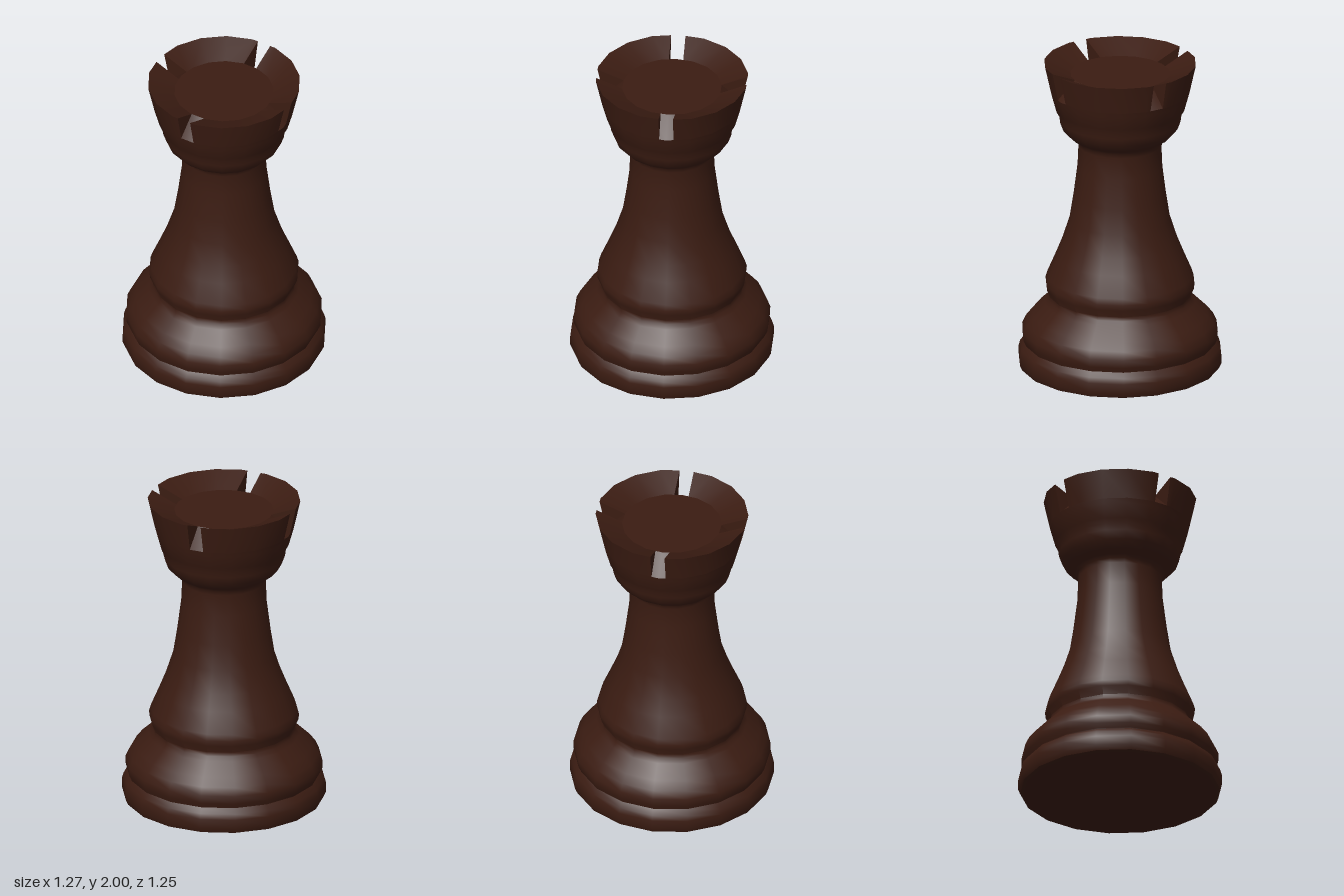
import * as THREE from 'three';
import { toCreasedNormals } from 'three/addons/utils/BufferGeometryUtils.js';

const SIDES = 18;
const STEP = (Math.PI * 2) / SIDES;
const CREASE = 0.65;
const SLOT = 0.045; // half width of each slot

// Points shared by the turned body and the battlements: [radius, height]
const OUTER_FOOT = [0.435, 1.82];
const RIM = [0.475, 2.0];
const INNER_FOOT = [0.31, 1.93];

// Body outline, from the centre of the underside up to the crown floor
const PROFILE = [
  [0, 0], [0.6, 0], [0.622, 0.01], [0.635, 0.04], [0.635, 0.1], [0.625, 0.135], [0.597, 0.166],
  [0.598, 0.172], [0.612, 0.2], [0.613, 0.25], [0.59, 0.3], [0.55, 0.35], [0.47, 0.425],
  [0.447, 0.45], [0.442, 0.475], [0.463, 0.525], [0.467, 0.56], [0.455, 0.6],
  [0.4, 0.73], [0.36, 0.83], [0.315, 0.97], [0.29, 1.13], [0.266, 1.32], [0.26, 1.46],
  [0.266, 1.488], [0.285, 1.508], [0.32, 1.53], [0.36, 1.575], [0.38, 1.63], [0.385, 1.67],
  [0.402, 1.7], [0.427, 1.79], OUTER_FOOT, INNER_FOOT, [0, 1.93],
];

// One quarter of the battlements: a triangular section swept between two slots
function battlementGeometry(sx, sz) {
  // Plan position of radius r at each station along the quarter
  const stations = [(r) => [r - SLOT * Math.tan(STEP / 2), SLOT]];
  for (let k = 1; k <= 4; k++) {
    stations.push((r) => [r * Math.cos(k * STEP), r * Math.sin(k * STEP)]);
  }
  stations.push((r) => [SLOT, r * Math.cos(STEP / 2)]);

  const positions = [];
  for (const at of stations) {
    for (const [r, y] of [OUTER_FOOT, RIM, INNER_FOOT]) {
      const [x, z] = at(r);
      positions.push(x * sx, y, z * sz);
    }
  }

  const faces = [];
  const last = (stations.length - 1) * 3;
  for (let a = 0; a < last; a += 3) {
    const b = a + 3;
    faces.push([a, a + 1, b], [a + 1, b + 1, b]); // outer wall
    faces.push([a + 1, a + 2, b + 1], [a + 2, b + 2, b + 1]); // bowl wall
  }
  faces.push([0, 2, 1], [last, last + 1, last + 2]); // slot cheeks
  if (sx * sz < 0) faces.forEach((f) => f.reverse());

  const geometry = new THREE.BufferGeometry();
  geometry.setAttribute('position', new THREE.Float32BufferAttribute(positions, 3));
  geometry.setIndex(faces.flat());
  return toCreasedNormals(geometry, CREASE);
}

export function createModel() {
  const group = new THREE.Group();
  group.name = 'chessRook';
  const wood = new THREE.MeshStandardMaterial({ color: 0x3b1c12 });

  const add = (name, geometry) => {
    const mesh = new THREE.Mesh(geometry, wood);
    mesh.name = name;
    group.add(mesh);
  };

  // Turned base, stem, collar and crown floor
  const points = PROFILE.map(([r, y]) => new THREE.Vector2(r, y));
  const body = new THREE.LatheGeometry(points, SIDES, Math.PI / 2);
  add('body', toCreasedNormals(body, CREASE));

  // Four battlements separated by slots
  for (const [side, sx] of [['Left', 1], ['Right', -1]]) {
    for (const [end, sz] of [['front', 1], ['back', -1]]) {
      add(`${end}${side}Battlement`, battlementGeometry(sx, sz));
    }
  }
  return group;
}
